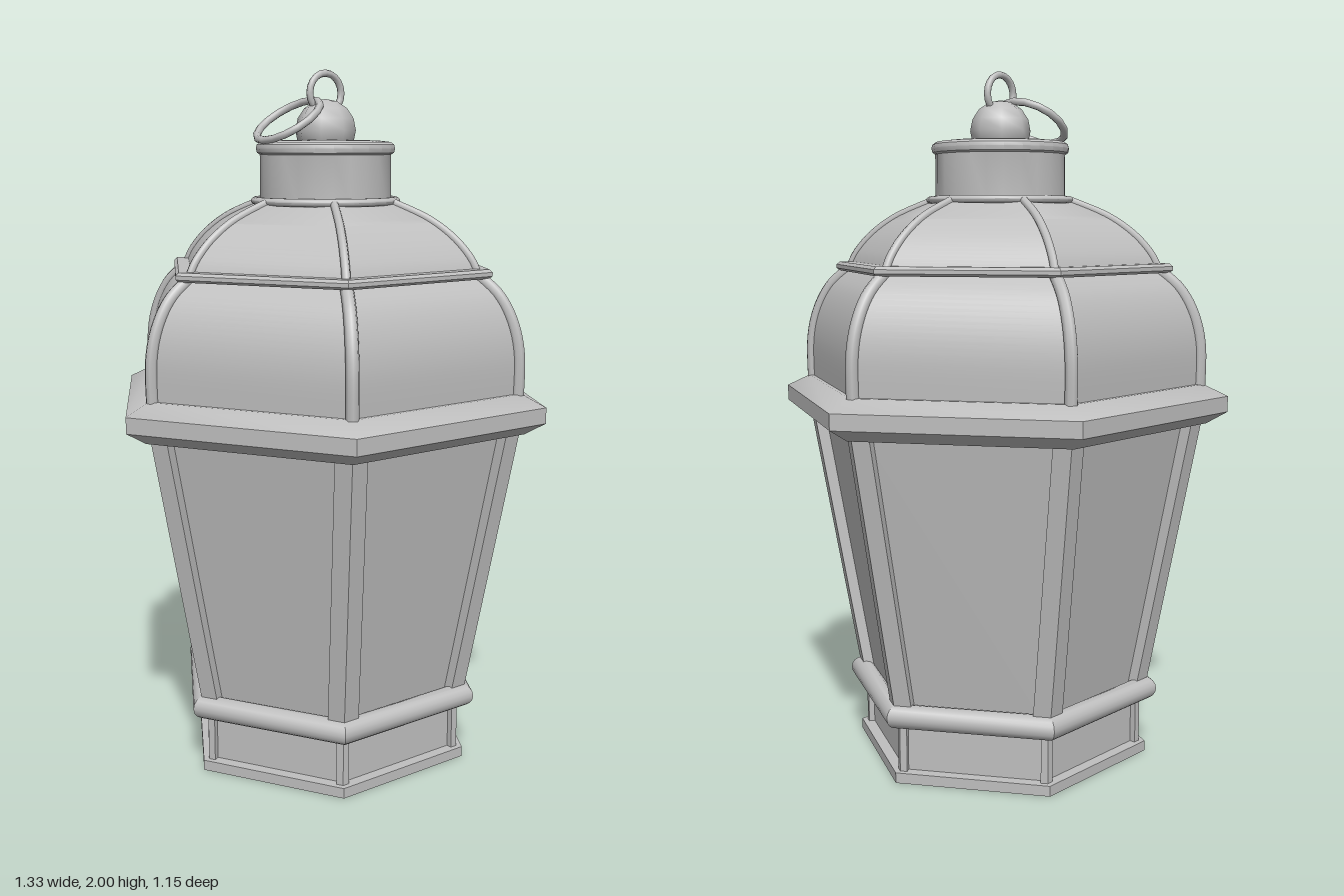
import * as THREE from 'three';
import { toCreasedNormals } from 'three/addons/utils/BufferGeometryUtils.js';

const V2 = (p) => new THREE.Vector2(p[0], p[1]);

// Revolve a [radius, height] profile; six sides put a corner on +x
function turned(profile, sides = 6) {
  const geo = new THREE.LatheGeometry(profile.map(V2), sides, Math.PI / 2);
  return toCreasedNormals(geo, 0.55);
}

// Closed round profile for beads and lips
function bead(radius, y, rx, ry = rx, n = 16) {
  return Array.from({ length: n + 1 }, (_, i) => {
    const a = -Math.PI / 2 + (i / n) * Math.PI * 2;
    return [radius + rx * Math.cos(a), y + ry * Math.sin(a)];
  });
}

// Chevron-section corner post that leans from radius r0 at y0 to r1 at y1
function cornerPost(r0, y0, r1, y1, arm, thick) {
  const c = Math.sqrt(3) / 2;
  const shape = new THREE.Shape([
    [0, 0], [-0.5 * arm, c * arm], [-0.5 * arm - c * thick, c * arm - 0.5 * thick],
    [-thick / c, 0],
    [-0.5 * arm - c * thick, -c * arm + 0.5 * thick], [-0.5 * arm, -c * arm],
  ].map(V2));
  const geo = new THREE.ExtrudeGeometry(shape, { depth: y1 - y0, bevelEnabled: false });
  geo.rotateX(-Math.PI / 2);
  const p = geo.attributes.position;
  for (let i = 0; i < p.count; i++) {
    const t = p.getY(i) / (y1 - y0);
    p.setXYZ(i, p.getX(i) + r0 + (r1 - r0) * t, p.getY(i) + y0, p.getZ(i));
  }
  geo.computeVertexNormals();
  return geo;
}

// Smooth list of points through a few profile points
const smooth = (pts, n) =>
  new THREE.SplineCurve(pts.map(V2)).getPoints(n).map((p) => [p.x, p.y]);

export function createModel() {
  const group = new THREE.Group();
  const metal = new THREE.MeshStandardMaterial({ color: 0xbfbfbf });
  metal.name = 'grey metal';

  const add = (name, geo) => {
    const mesh = new THREE.Mesh(geo, metal);
    mesh.name = name;
    group.add(mesh);
    return mesh;
  };
  // Repeat a part at the six corners
  const atCorners = (name, geo) => {
    for (let i = 0; i < 6; i++) add(name, geo).rotation.y = (i * Math.PI) / 3;
  };

  // Base
  add('basePlate', turned([[0, 0], [0.443, 0], [0.443, 0.03], [0, 0.03]]));
  add('baseWall', turned([[0.405, 0.02], [0.405, 0.2]]));
  atCorners('basePost', cornerPost(0.425, 0.03, 0.425, 0.18, 0.02, 0.03));
  add('baseBead', turned(bead(0.438, 0.197, 0.037, 0.034)));

  // Tapered body with recessed panels and corner posts
  add('bodyPanels', turned([[0.405, 0.19], [0.555, 1.02]]));
  atCorners('bodyPost', cornerPost(0.442, 0.2, 0.592, 1.01, 0.05, 0.04));

  // Cornice
  add('cornice', turned([
    [0, 1.0], [0.605, 1.0], [0.665, 1.035], [0.665, 1.08], [0.595, 1.113], [0, 1.113],
  ]));

  // Two-stage dome with a lip between the stages
  const lower = smooth(
    [[0.582, 1.1], [0.582, 1.22], [0.562, 1.31], [0.52, 1.385], [0.455, 1.44]], 20);
  const upper = smooth(
    [[0.458, 1.445], [0.435, 1.487], [0.385, 1.54], [0.31, 1.59], [0.2, 1.635]], 20);
  add('lowerDome', turned(lower));
  add('upperDome', turned(upper));
  add('domeLip', turned([
    [0.42, 1.43], [0.492, 1.43], [0.502, 1.437], [0.502, 1.448], [0.492, 1.456], [0.42, 1.456],
  ]));

  // Ribs along the dome corners
  const rib = (profile, radius) => {
    const path = new THREE.CatmullRomCurve3(
      profile.map(([r, y]) => new THREE.Vector3(r, y, 0)));
    return new THREE.TubeGeometry(path, 20, radius, 8);
  };
  atCorners('lowerRib', rib(lower, 0.018));
  atCorners('upperRib', rib(upper, 0.012));

  // Neck and cap
  add('neckCollar', turned(bead(0.2, 1.636, 0.015, 0.011), 24));
  add('neck', turned([
    [0.188, 1.62], [0.188, 1.765], [0.196, 1.77], [0.199, 1.782],
    [0.196, 1.793], [0.186, 1.8], [0.15, 1.804], [0, 1.808],
  ], 24));

  // Finial with a fixed loop and a loose hanging ring
  const ball = add('finialBall', new THREE.SphereGeometry(0.087, 8, 8));
  ball.position.y = 1.832;
  const loop = add('topLoop', new THREE.TorusGeometry(0.055, 0.01, 8, 20));
  loop.position.y = 1.935;
  const ringGeo = new THREE.TorusGeometry(0.1, 0.011, 8, 16);
  ringGeo.rotateX(Math.PI / 2);
  const ring = add('hangingRing', ringGeo);
  ring.rotation.z = 0.59;
  ring.position.set(-0.11, 1.86, -0.028);

  return group;
}
